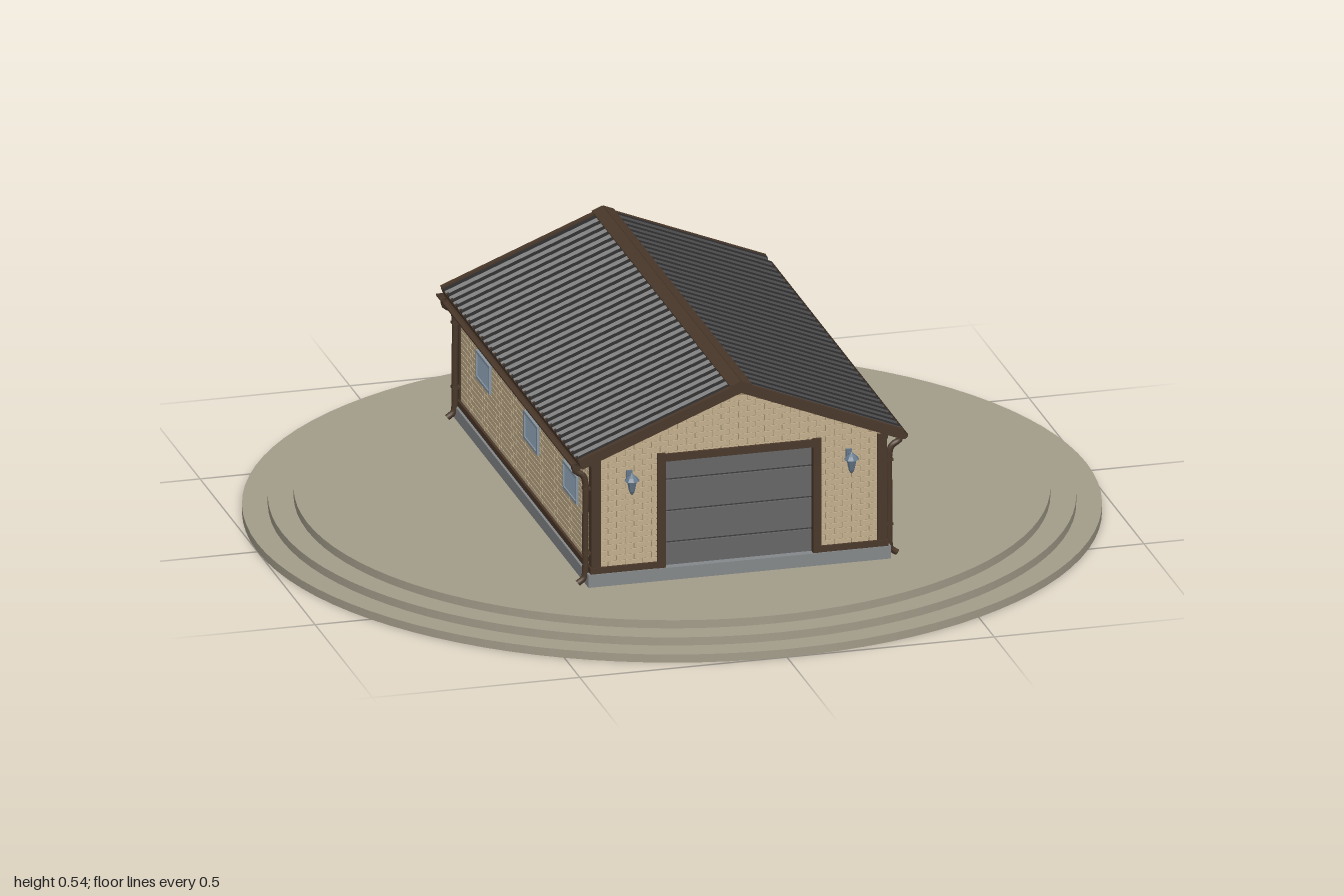
import * as THREE from 'three';
import { mergeGeometries } from 'three/addons/utils/BufferGeometryUtils.js';

const mat = (color) => new THREE.MeshStandardMaterial({ color });
const M = {
  stone: mat(0xa39c8a), concrete: mat(0x85888a), brick: mat(0xc4b08e), mortar: mat(0xa08d6c),
  trim: mat(0x4a382a), roof: mat(0x2d2d2f), door: mat(0x666666), seam: mat(0x3c3c3c),
  glass: mat(0x9db4ca), frame: mat(0x8796a3), lamp: mat(0x66788a),
};
const SLOPE = 0.397, APEX = 0.537, ANGLE = Math.atan(SLOPE);
const HX = 0.35, HZ = 0.578, BASE = 0.09, WALL_TOP = 0.376, GABLE = 0.515;

function add(parent, name, geo, material, x = 0, y = 0, z = 0) {
  const m = new THREE.Mesh(geo, material);
  m.name = name;
  m.position.set(x, y, z);
  parent.add(m);
  return m;
}
const box = (parent, name, material, w, h, d, x, y, z) =>
  add(parent, name, new THREE.BoxGeometry(w, h, d), material, x, y, z);

function poly(points) {
  return new THREE.Shape(points.map(([x, y]) => new THREE.Vector2(x, y)));
}
const extrude = (shape, depth) =>
  new THREE.ExtrudeGeometry(shape, { depth, bevelEnabled: false });

// Running-bond bricks; spans(y) gives the [start, end] runs of each course
function brickFace(spans, top) {
  const course = 0.0136, length = 0.042, gap = 0.0018, list = [];
  for (let row = 0; BASE + (row + 1) * course <= top; row++) {
    const y = BASE + (row + 0.5) * course;
    for (const [a, b] of spans(y + course / 2)) {
      const first = Math.floor(a / length) - 1;
      for (let i = first; i * length < b; i++) {
        const u = (i + (row % 2) * 0.5) * length;
        const u0 = Math.max(a, u), u1 = Math.min(b, u + length - gap);
        if (u1 - u0 < 0.004) continue;
        list.push(new THREE.BoxGeometry(u1 - u0, course - gap, 0.006).translate((u0 + u1) / 2, y, 0));
      }
    }
  }
  return mergeGeometries(list);
}

function buildTerrace(root) {
  [1, 0.94, 0.88].forEach((r, i) =>
    add(root, 'terraceStep', new THREE.CylinderGeometry(r, r, 0.02, 96), M.stone, 0, 0.01 + i * 0.02, 0));
}

function buildWalls(root) {
  const g = new THREE.Group();
  g.name = 'walls';
  root.add(g);
  box(g, 'foundation', M.concrete, 0.73, 0.032, 1.18, 0, 0.075, 0);
  const outline = [[-HX, BASE], [HX, BASE], [HX, WALL_TOP], [0, GABLE], [-HX, WALL_TOP]];
  add(g, 'wallCore', extrude(poly(outline), HZ * 2 - 0.015), M.mortar, 0, 0, -HZ);
  // Front layer is notched for the door
  const front = [[-HX, BASE], [-0.18, BASE], [-0.18, 0.355], [0.18, 0.355], [0.18, BASE],
    [HX, BASE], [HX, WALL_TOP], [0, GABLE], [-HX, WALL_TOP]];
  add(g, 'frontWall', extrude(poly(front), 0.015), M.mortar, 0, 0, HZ - 0.015);

  const half = (y) => Math.min(HX, (GABLE - y) / SLOPE);
  add(g, 'backBricks', brickFace((y) => [[-half(y), half(y)]], 0.51), M.brick, 0, 0, -HZ);
  add(g, 'frontBricks', brickFace((y) => (y < 0.37
    ? [[-HX, -0.19], [0.19, HX]] : [[-half(y), half(y)]]), 0.51), M.brick, 0, 0, HZ);
  for (const s of [-1, 1])
    add(g, 'sideBricks', brickFace(() => [[-HZ, HZ]], WALL_TOP), M.brick, s * HX, 0, 0).rotation.y = Math.PI / 2;

  // Corner boards, base boards and eave boards
  for (const sx of [-1, 1]) {
    for (const sz of [-1, 1]) {
      box(g, 'cornerBoard', M.trim, 0.022, 0.28, 0.022, sx * 0.345, 0.23, sz * (HZ - 0.004));
    }
    box(g, 'sideBaseBoard', M.trim, 0.012, 0.016, 1.174, sx * 0.353, 0.098, 0);
    box(g, 'eaveBoard', M.trim, 0.014, 0.018, 1.17, sx * 0.352, 0.366, 0);
    box(g, 'frontBaseBoard', M.trim, 0.17, 0.016, 0.012, sx * 0.274, 0.098, HZ + 0.003);
  }
  box(g, 'backBaseBoard', M.trim, 0.718, 0.016, 0.012, 0, 0.098, -HZ - 0.003);
}

function buildDoor(root) {
  const g = new THREE.Group();
  g.name = 'garageDoor';
  root.add(g);
  box(g, 'doorSeams', M.seam, 0.36, 0.275, 0.006, 0, 0.218, 0.563);
  const bounds = [0.08, 0.147, 0.225, 0.303, 0.355];
  for (let i = 0; i < 4; i++) {
    const h = bounds[i + 1] - bounds[i];
    box(g, 'doorPanel', M.door, 0.36, h - 0.005, 0.01, 0, bounds[i] + h / 2, 0.566);
  }
  for (const s of [-1, 1]) box(g, 'doorJamb', M.trim, 0.02, 0.285, 0.028, s * 0.188, 0.232, 0.574);
  box(g, 'doorHead', M.trim, 0.396, 0.018, 0.028, 0, 0.363, 0.574);
}

function buildWindows(root) {
  const w = 0.12, h = 0.07, t = 0.007;
  for (const s of [-1, 1]) for (const z of [0.4, 0.06, -0.357]) {
    const g = new THREE.Group();
    g.name = 'window';
    g.position.set(s * (HX + 0.003), 0.253, z);
    root.add(g);
    box(g, 'glass', M.glass, 0.006, h - t, w - t, 0, 0, 0);
    for (const e of [-1, 1]) {
      box(g, 'frameRail', M.frame, 0.012, t, w, 0, e * (h - t) / 2, 0);
      box(g, 'frameStile', M.frame, 0.012, h, t, 0, 0, e * (w - t) / 2);
    }
  }
}

function buildRoof(root) {
  const len = 0.392 / Math.cos(ANGLE), ribs = 32, z0 = 0.598, pitch = 2 * z0 / ribs;
  // Ribbed sheet section, drawn along the ridge
  const section = [[-z0, -0.012]];
  for (let i = 0; i < ribs; i++) {
    const a = -z0 + i * pitch;
    section.push([a, -0.008], [a + pitch * 0.3, -0.008], [a + pitch * 0.42, 0], [a + pitch * 0.88, 0]);
  }
  section.push([z0, -0.008], [z0, -0.012]);
  const sheet = extrude(poly(section.reverse()), len).rotateY(Math.PI / 2);

  for (const turn of [0, Math.PI]) {
    const side = new THREE.Group(), slope = new THREE.Group();
    side.name = 'roofSide';
    slope.name = 'roofSlope';
    side.rotation.y = turn;
    slope.position.y = APEX;
    slope.rotation.z = -ANGLE;
    root.add(side);
    side.add(slope);
    add(slope, 'roofSheet', sheet, M.roof);
    box(slope, 'roofDeck', M.trim, len - 0.004, 0.01, 1.19, len / 2 - 0.002, -0.016, 0);
    box(slope, 'ridgeCap', M.trim, 0.028, 0.005, 1.206, 0.013, 0.002, 0);
    for (const s of [-1, 1]) box(slope, 'bargeBoard', M.trim, len, 0.024, 0.012, len / 2, -0.011, s * 0.597);
    box(slope, 'eaveFascia', M.trim, 0.008, 0.016, 1.2, len - 0.003, -0.013, 0);

    // Half-round gutter with end caps
    const gutter = new THREE.CylinderGeometry(0.011, 0.011, 1.19, 12, 1, true, -Math.PI / 2, Math.PI);
    const trough = M.trim.clone();
    trough.side = THREE.DoubleSide;
    add(side, 'gutter', gutter.rotateX(Math.PI / 2), trough, 0.394, 0.366, 0);
    for (const s of [-1, 1]) {
      const cap = new THREE.CircleGeometry(0.011, 12, Math.PI, Math.PI);
      add(side, 'gutterCap', cap, trough, 0.394, 0.366, s * 0.595);
      // Downpipe swept from the gutter to the foot of the wall
      const path = [[0.394, 0.36], [0.391, 0.345], [0.373, 0.333], [0.367, 0.315], [0.367, 0.2],
        [0.367, 0.095], [0.37, 0.078], [0.385, 0.066]].map(([x, y]) => new THREE.Vector3(x, y, s * 0.568));
      const curve = new THREE.CatmullRomCurve3(path, false, 'centripetal');
      add(side, 'downpipe', new THREE.TubeGeometry(curve, 40, 0.0075, 10), trough);
      for (const y of [0.14, 0.3]) box(side, 'pipeBracket', M.trim, 0.02, 0.006, 0.018, 0.364, y, s * 0.568);
    }
  }
}

function buildLamps(root) {
  const profile = [[0, -0.026], [0.004, -0.022], [0.007, -0.016], [0.012, 0.008], [0.018, 0.01],
    [0.012, 0.018], [0.004, 0.024], [0, 0.03]].map(([r, y]) => new THREE.Vector2(r, y));
  for (const s of [-1, 1]) {
    const g = new THREE.Group();
    g.name = 'wallLamp';
    g.position.set(s * 0.265, 0.313, 0.607);
    root.add(g);
    const lantern = new THREE.LatheGeometry(profile, 8).toNonIndexed();
    lantern.computeVertexNormals();
    add(g, 'lantern', lantern, M.lamp);
    box(g, 'lampArm', M.lamp, 0.005, 0.005, 0.03, 0, 0.016, -0.013);
    box(g, 'lampPlate', M.lamp, 0.014, 0.03, 0.005, 0, 0.012, -0.024);
  }
}

export function createModel() {
  const root = new THREE.Group();
  root.name = 'garage';
  buildTerrace(root);
  buildWalls(root);
  buildDoor(root);
  buildWindows(root);
  buildRoof(root);
  buildLamps(root);
  return root;
}
